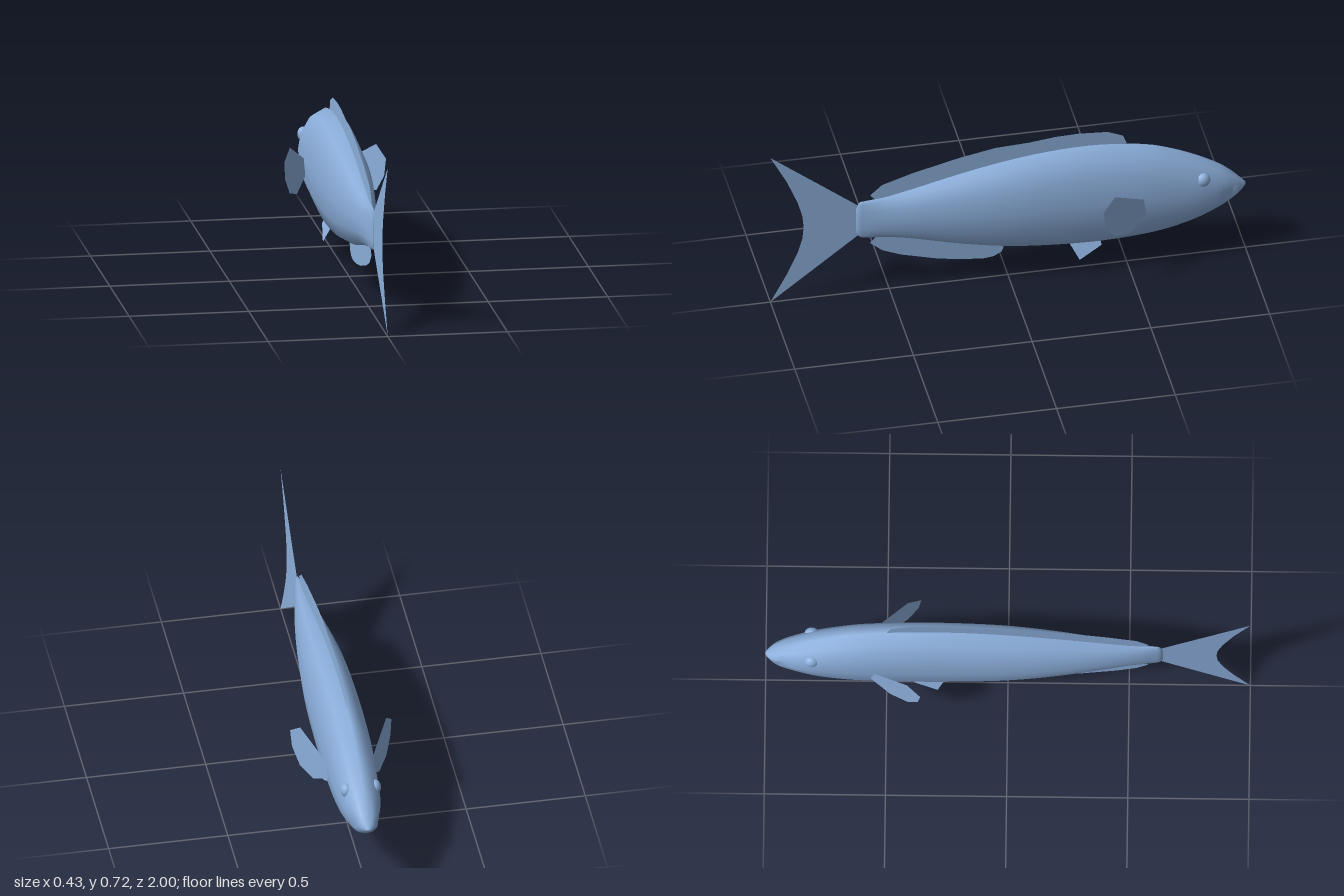
import * as THREE from 'three';

const skin = new THREE.MeshStandardMaterial({ color: 0x8cafdc, side: THREE.DoubleSide });
skin.name = 'pale blue skin';

// Body stations from snout to tail: z, belly y, back y, half width
const STATIONS = [
  [-1, 0.328, 0.338, 0.008], [-0.98, 0.308, 0.358, 0.03], [-0.95, 0.283, 0.388, 0.05],
  [-0.9, 0.248, 0.432, 0.064], [-0.8, 0.2, 0.492, 0.084], [-0.7, 0.166, 0.54, 0.093],
  [-0.6, 0.145, 0.575, 0.098], [-0.4, 0.129, 0.605, 0.1], [-0.2, 0.135, 0.603, 0.099],
  [0, 0.156, 0.58, 0.094], [0.2, 0.195, 0.541, 0.078], [0.4, 0.246, 0.493, 0.052],
  [0.52, 0.27, 0.467, 0.031], [0.6, 0.277, 0.46, 0.016], [0.625, 0.285, 0.455, 0.011],
  [0.64, 0.31, 0.42, 0.003],
];

// Smooth loft of twelve-sided elliptical rings
function bodyGeometry() {
  const sides = 12, steps = 64;
  const side = new THREE.CatmullRomCurve3(STATIONS.map(([z, lo, , w]) => new THREE.Vector3(w, lo, z)));
  const back = new THREE.CatmullRomCurve3(STATIONS.map(([z, , hi, w]) => new THREE.Vector3(w, hi, z)));
  const pos = [], index = [];
  for (let i = 0; i <= steps; i++) {
    const a = side.getPoint(i / steps), b = back.getPoint(i / steps);
    const mid = (a.y + b.y) / 2, h = (b.y - a.y) / 2;
    for (let j = 0; j < sides; j++) {
      const t = (j / sides) * Math.PI * 2;
      // shallow mouth groove along the sides of the snout
      const groove = j % 6 === 0 ? 0.28 * Math.max(0, 1 - Math.abs(a.z + 0.94) / 0.05) : 0;
      pos.push(a.x * Math.cos(t) * (1 - groove), mid + h * Math.sin(t), a.z);
    }
  }
  for (let i = 0; i < steps; i++) {
    for (let j = 0; j < sides; j++) {
      const k = (j + 1) % sides, p = i * sides, q = p + sides;
      index.push(p + j, p + k, q + j, p + k, q + k, q + j);
    }
  }
  // Close snout and tail root
  const last = steps * sides;
  for (let j = 1; j < sides - 1; j++) {
    index.push(0, j + 1, j, last, last + j, last + j + 1);
  }
  const g = new THREE.BufferGeometry();
  g.setAttribute('position', new THREE.Float32BufferAttribute(pos, 3));
  g.setIndex(index);
  g.computeVertexNormals();
  return g;
}

// Thin fin drawn as a (z, y) outline; xAt gives its sideways slant
function finGeometry(outline, xAt = () => 0) {
  const g = new THREE.ShapeGeometry(new THREE.Shape(outline.map(([z, y]) => new THREE.Vector2(z, y))));
  const p = g.attributes.position;
  for (let i = 0; i < p.count; i++) {
    const z = p.getX(i), y = p.getY(i);
    p.setXYZ(i, xAt(z, y), y, z);
  }
  g.computeVertexNormals();
  return g;
}

export function createModel() {
  const fish = new THREE.Group();
  fish.name = 'fish';
  const add = (name, geometry) => {
    const mesh = new THREE.Mesh(geometry, skin);
    mesh.name = name;
    fish.add(mesh);
    return mesh;
  };

  add('body', bodyGeometry());

  // Fins on the centre line
  add('tailFin', finGeometry([
    [0.61, 0.43], [0.635, 0.445], [1, 0.73], [0.93, 0.598], [0.885, 0.49], [0.865, 0.42], [0.86, 0.365],
    [0.865, 0.31], [0.885, 0.24], [0.93, 0.14], [1, 0.01], [0.635, 0.29], [0.61, 0.3],
  ]));
  add('dorsalFin', finGeometry([
    [0.54, 0.44], [0.58, 0.485], [0.53, 0.53], [0.4, 0.572], [0.2, 0.622], [0.05, 0.65], [-0.09, 0.657],
    [-0.2, 0.67], [-0.3, 0.673], [-0.42, 0.665], [-0.485, 0.638], [-0.5, 0.6], [-0.48, 0.56],
    [-0.2, 0.57], [0.2, 0.51],
  ]));
  add('analFin', finGeometry([
    [0.54, 0.29], [0.58, 0.248], [0.53, 0.205], [0.45, 0.172], [0.3, 0.132], [0.2, 0.114], [0.1, 0.105],
    [0.06, 0.11], [0.025, 0.13], [0.01, 0.175], [0.2, 0.22], [0.4, 0.27],
  ]));

  // Paired fins and eyes
  for (const [s, label] of [[1, 'left'], [-1, 'right']]) {
    add(label + 'PectoralFin', finGeometry([
      [-0.56, 0.37], [-0.415, 0.46], [-0.36, 0.41], [-0.37, 0.335], [-0.413, 0.265], [-0.485, 0.242],
      [-0.565, 0.295],
    ], (z) => s * (0.095 + (z + 0.56) / 1.7)));
    add(label + 'PelvicFin', finGeometry([
      [-0.25, 0.16], [-0.265, 0.132], [-0.29, 0.085], [-0.385, 0.14], [-0.38, 0.165],
    ], (z, y) => s * (0.04 + (0.15 - y) * 0.36 - (z + 0.3) * 0.08)));
    const eye = add(label + 'Eye', new THREE.SphereGeometry(0.031, 16, 12));
    eye.position.set(s * 0.06, 0.412, -0.81);
    eye.scale.x = 0.8;
  }
  return fish;
}
